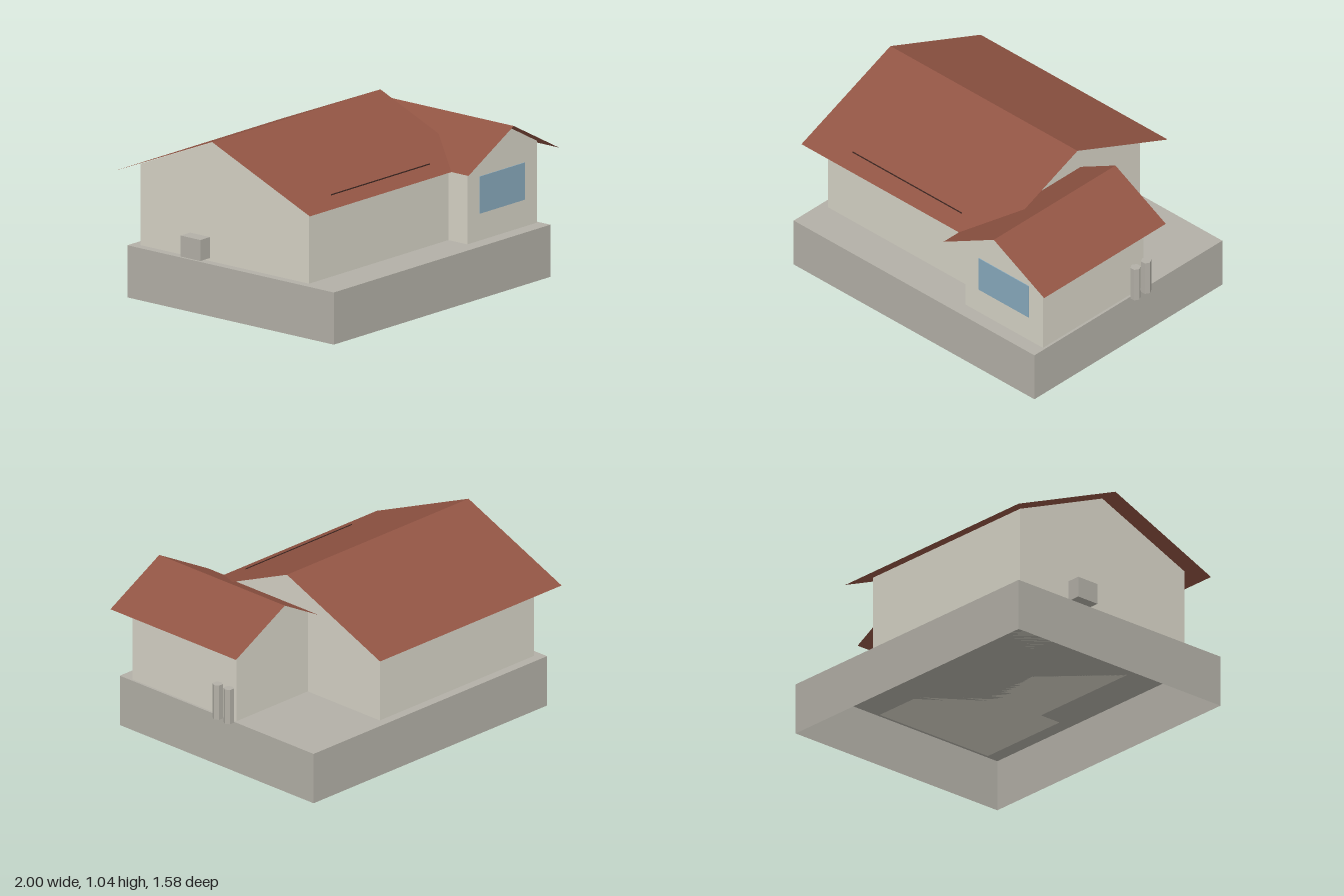
import * as THREE from 'three';

const mat = (name, color, side = THREE.FrontSide) => {
  const m = new THREE.MeshStandardMaterial({ color, side });
  m.name = name;
  return m;
};

export function createModel() {
  const wall = mat('cream wall', 0xd6d3c6);
  const stone = mat('grey stone', 0xb3b0a7, THREE.DoubleSide);
  const tile = mat('red roof', 0x915443, THREE.DoubleSide);
  const glass = mat('blue glass', 0x88aabd);
  const trim = mat('dark trim', 0x3f2722);

  const house = new THREE.Group();
  house.name = 'house';

  const add = (name, geometry, material, parent = house) => {
    const mesh = new THREE.Mesh(geometry, material);
    mesh.name = name;
    parent.add(mesh);
    return mesh;
  };
  // Box given by its extents on each axis
  const box = (name, [x0, x1], [y0, y1], [z0, z1], material) => {
    const g = new THREE.BoxGeometry(x1 - x0, y1 - y0, z1 - z0);
    g.translate((x0 + x1) / 2, (y0 + y1) / 2, (z0 + z1) / 2);
    return add(name, g, material);
  };

  // A gabled block: five-sided walls and two thin roof slopes.
  // The ridge runs along local z, centred on local x = 0.
  const gabled = (name, s) => {
    const group = new THREE.Group();
    group.name = name;
    const gap = 0.004; // keeps the wall tops just under the roof
    const shape = new THREE.Shape([
      new THREE.Vector2(-s.halfWidth, s.floor),
      new THREE.Vector2(s.halfWidth, s.floor),
      new THREE.Vector2(s.halfWidth, s.wallTop - gap),
      new THREE.Vector2(0, s.ridge - gap),
      new THREE.Vector2(-s.halfWidth, s.wallTop - gap),
    ]);
    const [w0, w1] = s.wallSpan;
    const walls = new THREE.ExtrudeGeometry(shape, { depth: w1 - w0, bevelEnabled: false });
    walls.translate(0, 0, w0);
    add(name + 'Walls', walls, wall, group);

    const [r0, r1] = s.roofSpan;
    for (const side of [-1, 1]) {
      const run = side < 0 ? s.eaveLeft : s.eaveRight;
      const slope = new THREE.PlaneGeometry(run, r1 - r0);
      slope.rotateX(-Math.PI / 2);
      slope.translate(side * run / 2, 0, (r0 + r1) / 2);
      const p = slope.attributes.position;
      for (let i = 0; i < p.count; i++) {
        p.setY(i, s.ridge - (s.ridge - s.eave) * Math.abs(p.getX(i)) / run);
      }
      slope.computeVertexNormals();
      add(name + 'Roof', slope, tile, group);
    }
    house.add(group);
    return group;
  };

  // Plinth, open underneath: leave out the bottom face
  const plinth = box('plinth', [-0.94, 0.925], [0, 0.303], [-0.735, 0.785], stone);
  const index = Array.from(plinth.geometry.index.array);
  index.splice(18, 6);
  plinth.geometry.setIndex(index);
  plinth.geometry.clearGroups();

  // Main house, ridge turned to run along x (local x becomes -z)
  const main = gabled('mainHouse', {
    halfWidth: 0.62, floor: 0.303, wallTop: 0.78, ridge: 1.037, eave: 0.735,
    eaveLeft: 0.72, eaveRight: 0.73, wallSpan: [-0.89, 0.34], roofSpan: [-1, 0.45],
  });
  main.rotation.y = Math.PI / 2;
  main.position.z = -0.06;

  // Front wing
  const wing = gabled('frontWing', {
    halfWidth: 0.3, floor: 0.303, wallTop: 0.782, ridge: 0.943, eave: 0.735,
    eaveLeft: 0.39, eaveRight: 0.39, wallSpan: [-0.115, 0.7], roofSpan: [-0.2, 0.785],
  });
  wing.position.x = 0.61;

  box('frontWindow', [0.415, 0.803], [0.46, 0.676], [0.699, 0.704], glass);
  box('roofStrip', [-0.7, 0.148], [0.775, 0.782], [0.558, 0.562], trim);
  box('utilityBox', [-0.972, -0.889], [0.32, 0.442], [-0.315, -0.17], stone);

  // Pair of six-sided tanks by the side wall
  for (const z of [-0.007, -0.093]) {
    const g = new THREE.CylinderGeometry(0.03, 0.03, 0.21, 6).toNonIndexed();
    g.rotateY(Math.PI / 2);
    g.computeVertexNormals();
    add('tank', g, stone).position.set(0.95, 0.408, z);
  }

  return house;
}
